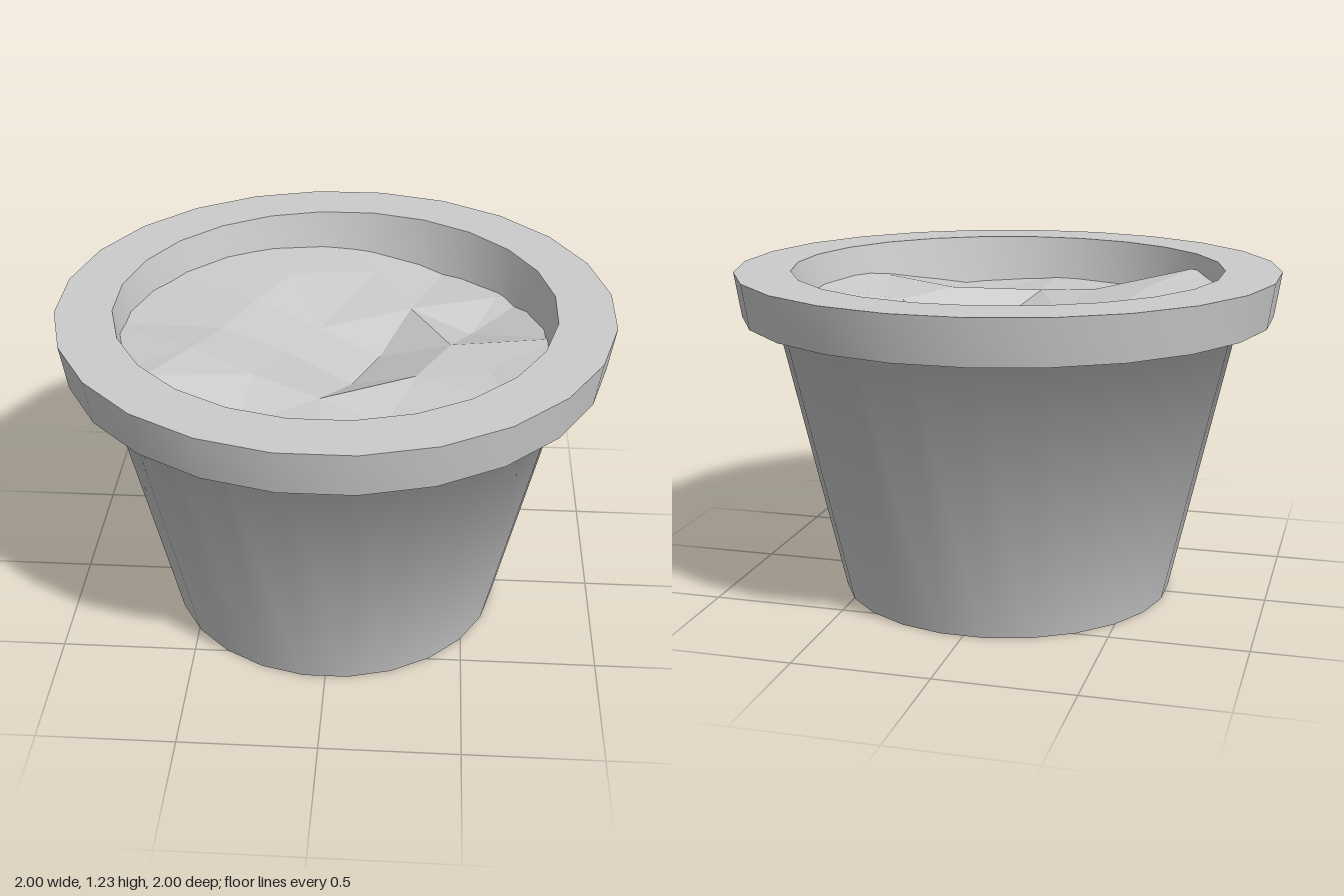
import * as THREE from 'three';
import { toCreasedNormals } from 'three/addons/utils/BufferGeometryUtils.js';

const SIDES = 24;
const HALF_STEP = Math.PI / SIDES;

// Turned part with flats facing the axes; profile radii are measured to the flats.
function turned(name, profile, material, crease) {
  const points = profile.map(([r, y]) => new THREE.Vector2(r / Math.cos(HALF_STEP), y));
  const lathe = new THREE.LatheGeometry(points, SIDES, HALF_STEP);
  const mesh = new THREE.Mesh(toCreasedNormals(lathe, crease), material);
  mesh.name = name;
  return mesh;
}

// Lumps of the soil surface as [x, y, z].
const LUMPS = [
  // hollow and spike in the middle
  [-0.17, 1.055, 0.07], [-0.03, 1.07, 0.41], [0.07, 0.99, 0.17],
  // step with its drop towards the front
  [-0.07, 1.03, -0.17], [0.27, 1.05, -0.31], [0.5, 1.0, -0.21], [0.16, 0.97, -0.07],
  // right-hand ridge
  [0.42, 1.08, 0.02], [0.3, 1.09, 0.27], [0.62, 1.1, 0.43], [0.55, 1.09, 0.2],
  // back
  [-0.2, 1.09, -0.5], [-0.32, 1.09, -0.27], [0.12, 1.07, -0.58], [0.6, 1.05, -0.43],
  // left-hand ridge
  [-0.42, 1.1, -0.02], [-0.5, 1.14, 0.2], [-0.27, 1.1, 0.31], [-0.62, 1.17, 0.46],
  // front
  [0.2, 1.04, 0.52], [-0.3, 1.06, 0.6],
];

// Heights where the soil meets the wall, every 30 degrees from +x towards +z.
const EDGE = [1.11, 1.12, 1.04, 1.06, 1.05, 1.16, 1.12, 1.1, 1.1, 1.08, 1.03, 1.06];

// Joins the lumps and the edge into facets: a triangle is kept if its circumcircle is empty.
function soilGeometry() {
  const edge = EDGE.map((y, i) => {
    const a = (i / EDGE.length) * Math.PI * 2;
    return [0.83 * Math.cos(a), y, 0.83 * Math.sin(a)];
  });
  const pts = [...LUMPS, ...edge];
  const index = [];
  for (let i = 0; i < pts.length; i++) {
    for (let j = i + 1; j < pts.length; j++) {
      for (let k = j + 1; k < pts.length; k++) {
        const [ax, , az] = pts[i];
        const bx = pts[j][0] - ax, bz = pts[j][2] - az;
        const cx = pts[k][0] - ax, cz = pts[k][2] - az;
        const d = 2 * (bx * cz - bz * cx);
        if (Math.abs(d) < 1e-6) continue;
        const b2 = bx * bx + bz * bz, c2 = cx * cx + cz * cz;
        const ux = (cz * b2 - bz * c2) / d, uz = (bx * c2 - cx * b2) / d;
        const r = Math.hypot(ux, uz) - 1e-6;
        if (pts.some((p) => Math.hypot(p[0] - ax - ux, p[2] - az - uz) < r)) continue;
        if (d > 0) index.push(i, k, j);
        else index.push(i, j, k);
      }
    }
  }
  const geometry = new THREE.BufferGeometry();
  geometry.setAttribute('position', new THREE.Float32BufferAttribute(pts.flat(), 3));
  geometry.setIndex(index);
  geometry.computeVertexNormals();
  return geometry;
}

export function createModel() {
  const pot = new THREE.Group();
  pot.name = 'flowerPot';
  const clay = new THREE.MeshStandardMaterial({ color: 0xcccccc });
  const earth = new THREE.MeshStandardMaterial({
    color: 0xcccccc, flatShading: true, side: THREE.DoubleSide,
  });

  // Tapered body with a recessed underside, softly shaded into the ledge below the rim
  const body = [[0, 0.22], [0.575, 0.22], [0.62, 0], [0.855, 1.06], [0.975, 1.06]];
  pot.add(turned('body', body, clay, 1.4));

  // Overhanging rim, its flat top and the inner wall
  pot.add(turned('rim', [[0.975, 1.06], [1, 1.225], [0.795, 1.225], [0.735, 0.95]], clay, 0.6));

  // Uneven soil, its edge tucked into the wall
  const soil = new THREE.Mesh(soilGeometry(), earth);
  soil.name = 'soil';
  pot.add(soil);

  return pot;
}
